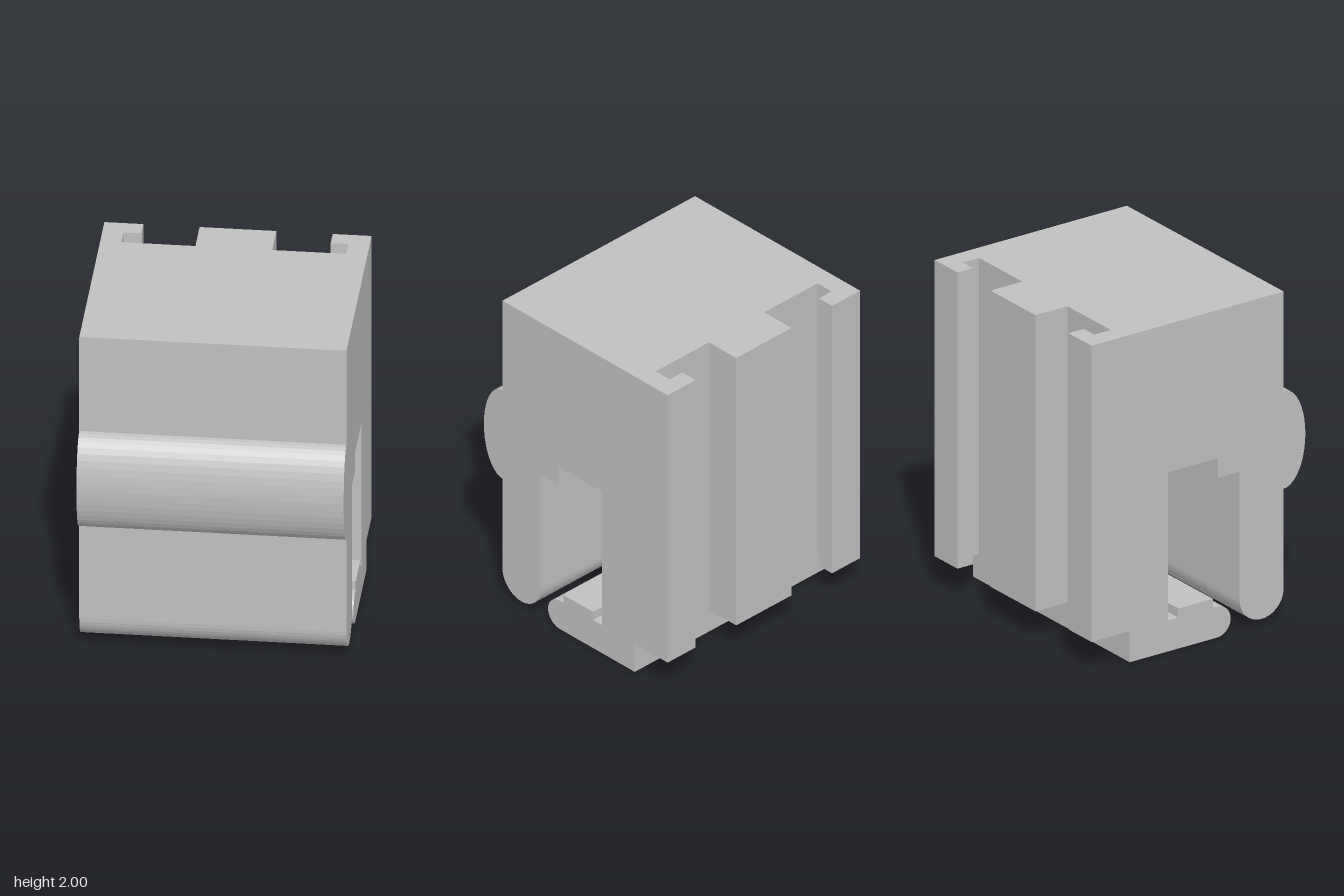
import * as THREE from 'three';

const HALF = 0.755;        // half width in x
const BACK = -0.52;        // floor of the rear slots
const STEP = 0.19;         // height of the foot plate

const grey = new THREE.MeshStandardMaterial({ color: 0xbfbfbf });
grey.name = 'grey';

const toShape = (pts) => new THREE.Shape(pts.map(([a, b]) => new THREE.Vector2(a, b)));

// Extrudes a (z, y) profile across the full width.
function acrossWidth(name, shape) {
  const g = new THREE.ExtrudeGeometry(shape, { depth: 2 * HALF, bevelEnabled: false, curveSegments: 10 });
  g.rotateY(-Math.PI / 2).translate(HALF, 0, 0);
  return named(name, g);
}

// Extrudes an (x, z) plan between two heights.
function upright(name, shape, y0, y1) {
  const g = new THREE.ExtrudeGeometry(shape, { depth: y1 - y0, bevelEnabled: false, curveSegments: 12 });
  g.rotateX(Math.PI / 2).translate(0, y1, 0);
  return named(name, g);
}

function named(name, geometry) {
  const mesh = new THREE.Mesh(geometry, grey);
  mesh.name = name;
  return mesh;
}

export function createModel() {
  const model = new THREE.Group();
  model.name = 'slottedBracket';

  // Main body with stepped channel, rounded front leg and bulging bumper
  const body = toShape([
    [BACK, STEP], [-0.21, STEP], [-0.21, 1.095], [0.135, 1.095],
    [0.135, 0.975], [0.285, 0.975], [0.285, STEP],
  ]);
  body.absarc(0.4375, STEP, 0.1525, Math.PI, 2 * Math.PI, false);
  body.lineTo(0.59, 0.795);
  body.absellipse(0.59, 1.095, 0.15, 0.3, -Math.PI / 2, Math.PI / 2, false, 0);
  body.lineTo(0.59, 2);
  body.lineTo(BACK, 2);
  model.add(acrossWidth('body', body));

  // Foot lip with rounded nose and raised pad
  const lip = toShape([[-0.21, 0], [0.128, 0]]);
  lip.absarc(0.128, STEP / 2, STEP / 2, -Math.PI / 2, Math.PI / 2, false);
  [[0.1, STEP], [0.1, 0.245], [-0.14, 0.245], [-0.14, STEP], [-0.21, STEP]]
    .forEach(([z, y]) => lip.lineTo(z, y));
  model.add(acrossWidth('footLip', lip));

  // Foot plate with two screw holes
  const plate = toShape([[-HALF, -0.475], [HALF, -0.475], [HALF, -0.21], [-HALF, -0.21]]);
  for (const side of [-1, 1]) {
    const hole = new THREE.Path();
    hole.absarc(side * 0.455, -0.333, 0.043, 0, 2 * Math.PI, true);
    plate.holes.push(hole);
  }
  model.add(upright('footPlate', plate, 0, STEP));

  // Rear rails: hooked corners and a wide centre rib
  for (const s of [-1, 1]) {
    const hook = toShape([
      [s * HALF, BACK], [s * HALF, -0.74], [s * 0.535, -0.74],
      [s * 0.535, -0.633], [s * 0.635, -0.633], [s * 0.635, BACK],
    ]);
    model.add(upright(s > 0 ? 'leftHookRail' : 'rightHookRail', hook, STEP, 2));
  }
  const rib = toShape([[-0.217, BACK], [-0.217, -0.74], [0.217, -0.74], [0.217, BACK]]);
  model.add(upright('centreRail', rib, STEP, 2));

  return model;
}
